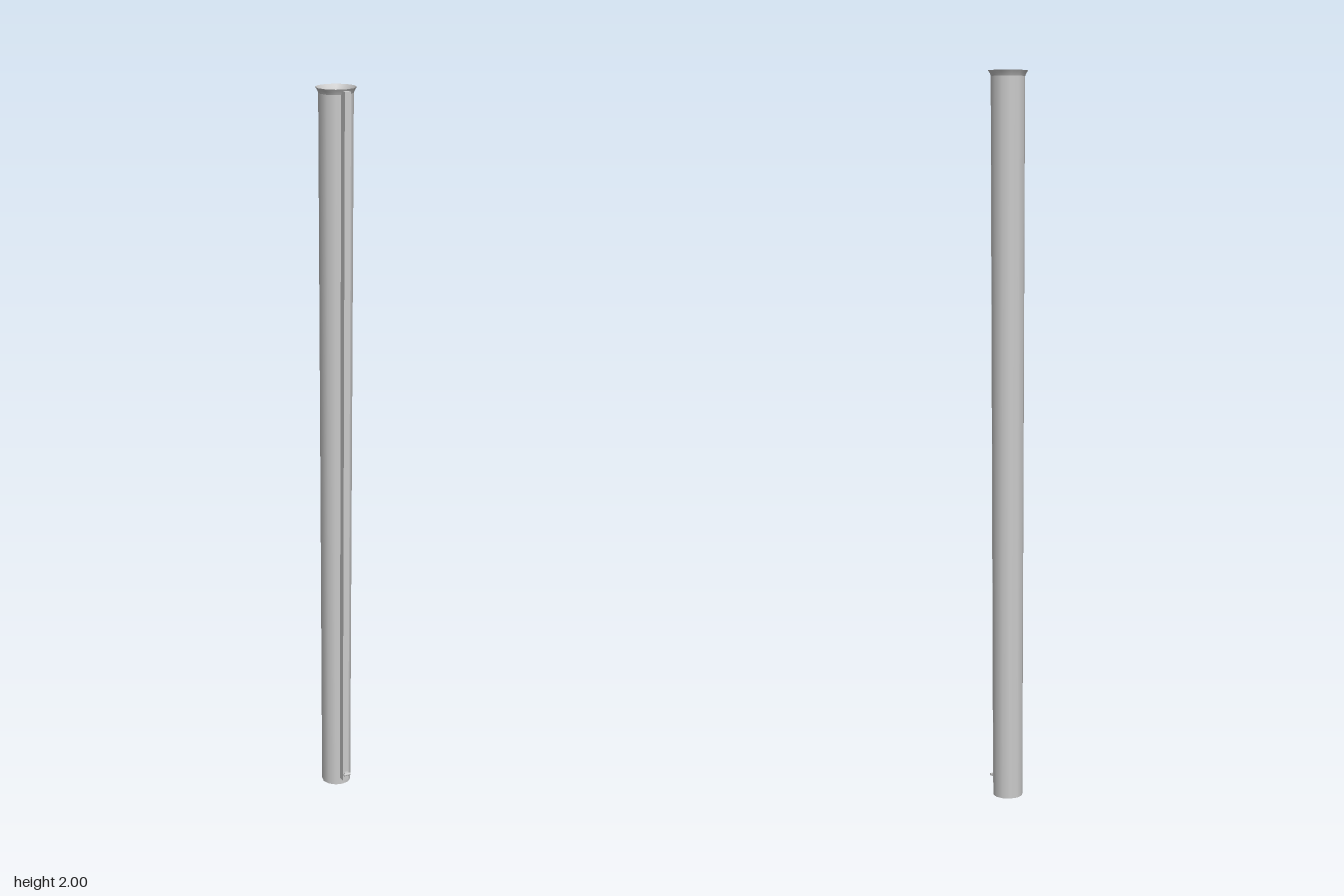
import * as THREE from 'three';

export function createModel() {
  const group = new THREE.Group();
  const material = new THREE.MeshStandardMaterial({ color: 0xcccccc, side: THREE.DoubleSide });
  const add = (name, geometry, x = 0, y = 0, z = 0) => {
    const mesh = new THREE.Mesh(geometry, material);
    mesh.name = name;
    mesh.position.set(x, y, z);
    group.add(mesh);
    return mesh;
  };
  const SIDES = 12, AXIS_Z = -0.0085;

  // Slightly tapered thin tube, open at the top
  const profile = (points) => points.map(([r, y]) => new THREE.Vector2(r, y));
  add('tube', new THREE.LatheGeometry(profile([[0.041, 0], [0.046, 1.985]]), SIDES), 0, 0, AXIS_Z);

  // Flared mouth
  add('flaredRim', new THREE.LatheGeometry(profile([[0.046, 1.985], [0.049, 1.992], [0.054, 2]]), SIDES), 0, 0, AXIS_Z);

  // Closed bottom
  const floor = new THREE.CircleGeometry(0.041, SIDES);
  floor.rotateX(Math.PI / 2);
  add('bottomCap', floor, 0, 0, AXIS_Z);

  // Rib down the front, leaning outward with the taper of the tube
  const rib = new THREE.BoxGeometry(0.018, 1.975, 1);
  const p = rib.attributes.position;
  for (let i = 0; i < p.count; i++) {
    const top = p.getY(i) > 0, outer = p.getZ(i) > 0;
    p.setZ(i, outer ? (top ? 0.055 : 0.048) : (top ? 0.035 : 0.022));
  }
  rib.computeVertexNormals();
  add('frontRib', rib, 0, 1.0075, 0);

  // Small catch at the foot of the rib: a stem carrying a cross pin
  add('catchStem', new THREE.BoxGeometry(0.012, 0.008, 0.014), 0, 0.042, 0.05);
  const pin = new THREE.CylinderGeometry(0.004, 0.004, 0.02, 8);
  pin.rotateZ(Math.PI / 2);
  add('catchPin', pin, 0, 0.042, 0.057);

  return group;
}
